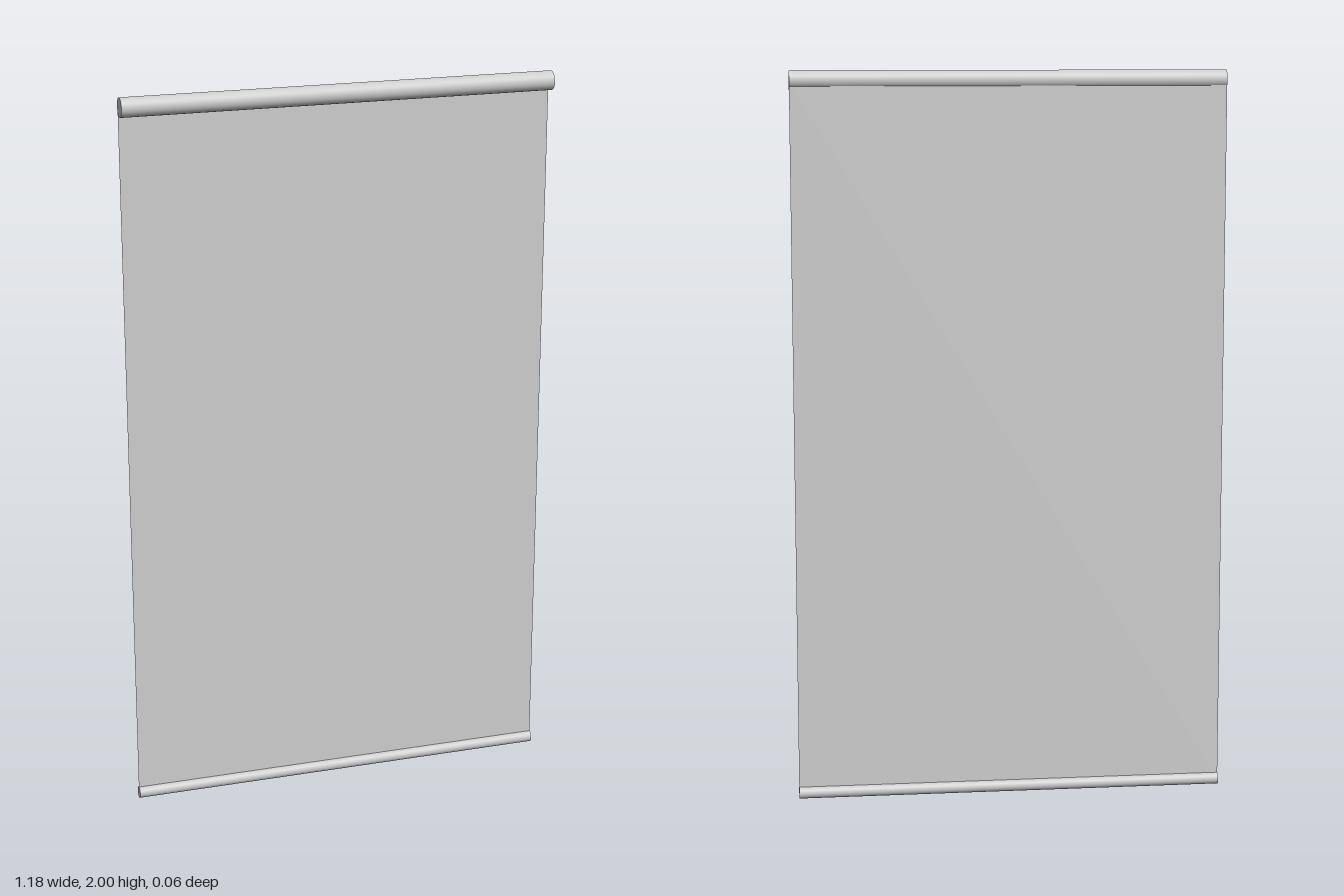
import * as THREE from 'three';

const WIDTH = 1.18;

export function createModel() {
  const group = new THREE.Group();
  const material = new THREE.MeshStandardMaterial({ color: 0xcccccc });
  const clothMaterial = new THREE.MeshStandardMaterial({ color: 0xcccccc, side: THREE.DoubleSide });

  // Horizontal round bar lying along x
  const addBar = (name, radius, y, z) => {
    const geometry = new THREE.CylinderGeometry(radius, radius, WIDTH, 32).rotateZ(Math.PI / 2);
    const bar = new THREE.Mesh(geometry, material);
    bar.name = name;
    bar.position.set(0, y, z);
    group.add(bar);
  };

  const roller = { r: 0.026, y: 1.974, z: 0.005 };
  const hem = { r: 0.016, y: 0.016, z: -0.0155 };
  addBar('topRoller', roller.r, roller.y, roller.z);
  addBar('bottomBar', hem.r, hem.y, hem.z);

  // Thin cloth hanging from the back of the roller down into the bottom bar
  const cloth = new THREE.Mesh(new THREE.PlaneGeometry(WIDTH, roller.y - hem.y), clothMaterial);
  cloth.name = 'blindSheet';
  cloth.position.set(0, (roller.y + hem.y) / 2, hem.z);
  group.add(cloth);

  return group;
}
